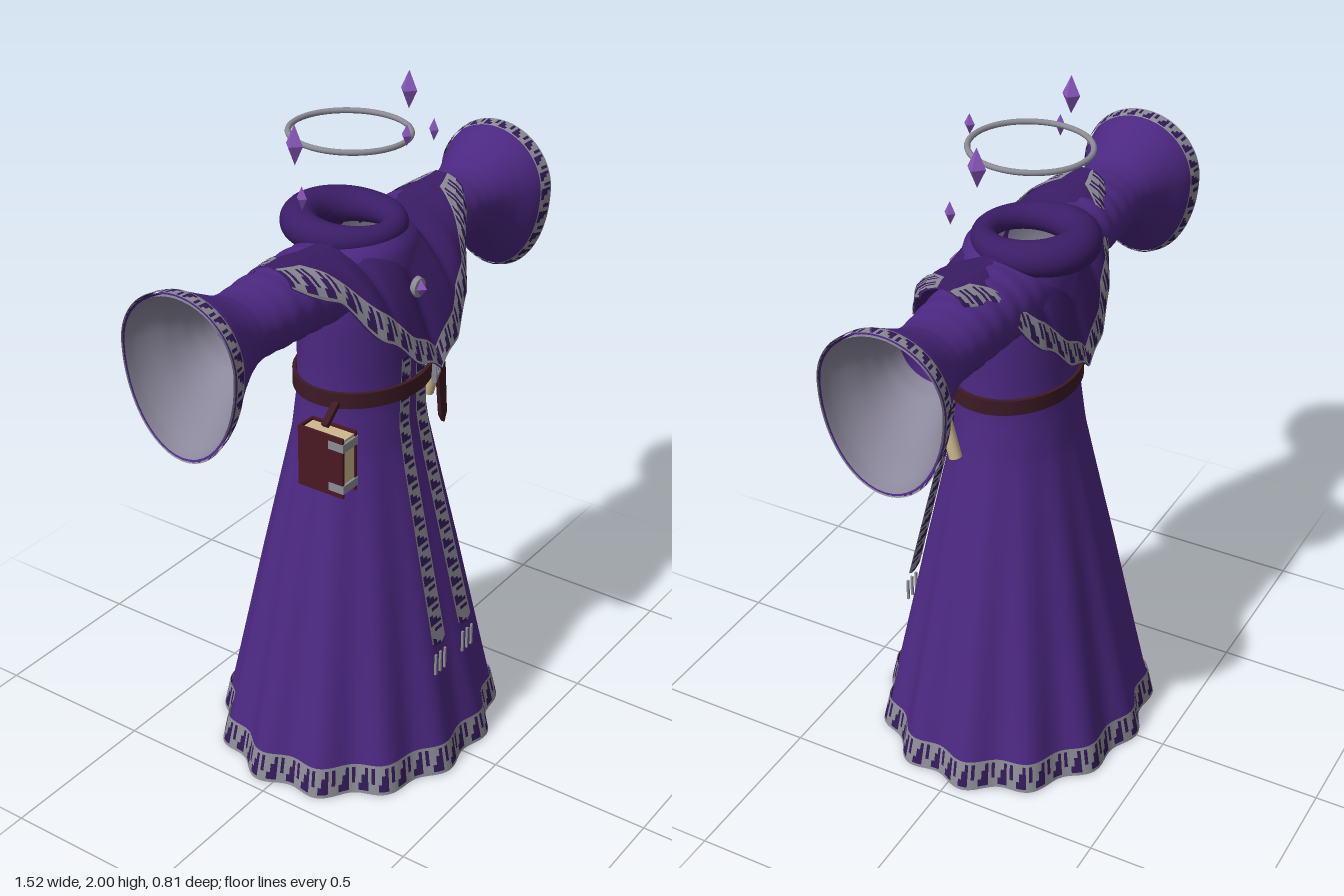
import * as THREE from 'three';
import { mergeVertices } from 'three/addons/utils/BufferGeometryUtils.js';

const mat = (name, color, double = false) => {
  const m = new THREE.MeshStandardMaterial({ color, side: double ? THREE.DoubleSide : THREE.FrontSide });
  m.name = name;
  return m;
};
const M = {
  robe: mat('robe purple', 0x4c2882, true),
  cape: mat('cape purple', 0x3b1d66, true),
  trim: mat('trim dark purple', 0x321a58, true),
  silver: mat('silver', 0x8c8c96, true),
  lining: mat('lining grey', 0x8c889c, true),
  leather: mat('leather', 0x3c1a24),
  cover: mat('book cover', 0x4a1822),
  paper: mat('parchment', 0xcdb98c),
  crystal: mat('crystal', 0x8a58bc),
};

// Piecewise linear lookup: rows are [key, a, b, ...]
function lookup(rows, k) {
  let i = 0;
  while (i < rows.length - 2 && k > rows[i + 1][0]) i++;
  const a = rows[i], b = rows[i + 1];
  const t = Math.min(1, Math.max(0, (k - a[0]) / (b[0] - a[0])));
  return a.slice(1).map((v, j) => v + (b[j + 1] - v) * t);
}

// Smooth grid surface from fn(u, v) -> [x, y, z]
function surface(fn, nu, nv, flip = false) {
  const pos = [], idx = [];
  for (let j = 0; j <= nv; j++) for (let i = 0; i <= nu; i++) pos.push(...fn(i / nu, j / nv));
  for (let j = 0; j < nv; j++) for (let i = 0; i < nu; i++) {
    const a = j * (nu + 1) + i, b = a + 1, d = a + nu + 1, c = d + 1;
    idx.push(...(flip ? [a, c, b, a, d, c] : [a, b, c, a, c, d]));
  }
  let g = new THREE.BufferGeometry();
  g.setAttribute('position', new THREE.Float32BufferAttribute(pos, 3));
  g.setIndex(idx);
  g = mergeVertices(g, 1e-5);
  g.computeVertexNormals();
  return g;
}

// Embroidered band: silver borders and key motif on dark cloth
const ROWS = ['111111', '011100', '010110', '010111', '111111'];
const EDGES = [0, 0.1, 0.35, 0.65, 0.9, 1];
function embroidered(name, fn, motifs) {
  const group = new THREE.Group();
  group.name = name;
  const buckets = [[], []], n = motifs * 6;
  for (let i = 0; i < n; i++) ROWS.forEach((row, j) => {
    const [a, b, c, d] = [[i, j], [i + 1, j], [i + 1, j + 1], [i, j + 1]].map(([p, q]) => fn(p / n, EDGES[q]));
    buckets[+row[i % 6]].push(...a, ...b, ...c, ...a, ...c, ...d);
  });
  buckets.forEach((p, k) => {
    const g = new THREE.BufferGeometry();
    g.setAttribute('position', new THREE.Float32BufferAttribute(p, 3));
    g.computeVertexNormals();
    const m = new THREE.Mesh(g, k ? M.silver : M.trim);
    m.name = name + (k ? 'Thread' : 'Cloth');
    group.add(m);
  });
  return group;
}

// Robe body: elliptical rings with folds that deepen toward the hem
const BODY = [[0, 0.448, 0.39], [0.6, 0.318, 0.272], [1.02, 0.222, 0.184], [1.15, 0.203, 0.168], [1.25, 0.2, 0.165],
  [1.42, 0.205, 0.168], [1.56, 0.195, 0.16], [1.62, 0.165, 0.145], [1.645, 0.115, 0.12]];
function bodyPoint(u, y, off = 0) {
  const th = u * Math.PI * 2, [rx, rz] = lookup(BODY, y);
  const fold = 1 - 0.038 * Math.pow(Math.max(0, 1 - y / 1.1), 0.8) * Math.cos(13 * th + 0.3 * Math.sin(2 * th));
  return [Math.sin(th) * (rx * fold + off), y, Math.cos(th) * (rz * fold + off)];
}

// Sleeve: rings along x, [x, up, down, depth]
const SLEEVE = [[0.1, 0.1, 0.125, 0.13], [0.2, 0.106, 0.115, 0.127], [0.3, 0.106, 0.11, 0.12], [0.42, 0.098, 0.106, 0.114],
  [0.5, 0.09, 0.102, 0.108], [0.55, 0.094, 0.112, 0.11], [0.6, 0.113, 0.148, 0.121], [0.65, 0.138, 0.198, 0.14],
  [0.7, 0.164, 0.252, 0.165], [0.73, 0.173, 0.275, 0.176], [0.76, 0.176, 0.285, 0.182]];
function sleevePoint(s, x, v, off = 0) {
  const a = v * Math.PI * 2, [up, down, rz] = lookup(SLEEVE, x);
  const w = x < 0.55 ? 1 + 0.018 * Math.sin(x * 95) * Math.sin((0.55 - x) * 6) : 1;
  const sn = Math.sin(a);
  return [s * x, 1.53 + sn * ((sn > 0 ? up : down) * w + off), -0.02 + Math.cos(a) * (rz * w + off)];
}

// Cape: pointed panel hanging from the shoulder line; t runs from top to hem
const HEM = [[0, 1.275, 0.272], [0.1, 1.335, 0.26], [0.2, 1.42, 0.222], [0.3, 1.545, 0.15], [0.36, 1.59, 0.115], [0.41, 1.61, 0.07]];
function capePoint(s, x, t, off = 0) {
  const ax = Math.abs(x), [hy, hz] = lookup(HEM, ax);
  const top = 1.64 + 0.02 * Math.max(0, ax - 0.2) / 0.2;
  const z0 = ax < 0.14 ? Math.sqrt(0.14 * 0.14 - ax * ax) - 0.02 : -0.02;
  const z1 = hz * (s > 0 ? 1 : 0.8), k = Math.min(1, ax / 0.2);
  const ty = t + (1 - Math.cos(t * Math.PI / 2) - t) * k, tz = t + (Math.sin(t * Math.PI / 2) - t) * k;
  const y = top + (hy + 0.008 * Math.sin(ax * 48) - top) * ty;
  return [x, y + off * 0.6, s * (z0 + (z1 - z0) * tz + off)];
}

export function createModel() {
  const root = new THREE.Group();
  root.name = 'floatingRobe';
  const add = (name, geo, material, x = 0, y = 0, z = 0) => {
    const m = new THREE.Mesh(geo, material);
    m.name = name;
    m.position.set(x, y, z);
    root.add(m);
    return m;
  };

  // Robe, lining and hem band
  add('robeBody', surface((u, v) => bodyPoint(u, v * 1.645), 208, 60), M.robe);
  add('robeLining', surface((u, v) => bodyPoint(u, v * 1.6, -0.006), 208, 40, true), M.lining);
  root.add(embroidered('hemTrim', (u, v) => bodyPoint(u, 0.003 + v * 0.092, 0.008), 44));

  // Rolled collar, fuller at the back
  add('collar', surface((u, v) => {
    const a = u * Math.PI * 2, b = v * Math.PI * 2, r = 0.045 - 0.011 * Math.cos(a);
    return [Math.sin(a) * (0.127 + r * Math.cos(b)), 1.637 + r * Math.sin(b), -0.042 + Math.cos(a) * (0.137 + r * Math.cos(b))];
  }, 48, 20), M.cape);

  // Sleeves with bell cuffs
  for (const s of [1, -1]) {
    const side = s > 0 ? 'left' : 'right';
    add(side + 'Sleeve', surface((u, v) => sleevePoint(s, 0.1 + u * 0.66, v), 60, 48, s < 0), M.robe);
    add(side + 'SleeveLining', surface((u, v) => sleevePoint(s, 0.5 + u * 0.26, v, -0.006), 24, 48, s > 0), M.lining);
    root.add(embroidered(side + 'CuffTrim', (u, v) => sleevePoint(s, 0.717 + v * 0.043, u, 0.005), 22));
  }

  // Front and back cape panels with trim
  for (const s of [1, -1]) {
    const side = s > 0 ? 'front' : 'back';
    add(side + 'Cape', surface((u, v) => capePoint(s, (u * 2 - 1) * 0.41, 1 - v), 64, 16, s < 0), M.cape);
    root.add(embroidered(side + 'CapeTrim', (u, v) => {
      const x = (u * 2 - 1) * 0.41, drop = 1.65 - lookup(HEM, Math.abs(x))[0];
      return capePoint(s, x, 1 - v * Math.min(0.75, 0.06 / drop), 0.005);
    }, 18));
  }

  // Hanging stole ends with fringe
  const STOLE = [[0.4, 0.338], [0.98, 0.204], [1.1, 0.182], [1.3, 0.182]];
  for (const s of [1, -1]) {
    root.add(embroidered(s > 0 ? 'leftStole' : 'rightStole', (u, v) => {
      const tip = u > 0.97 ? 0.02 * (1 - Math.abs(2 * v - 1)) : 0;
      const y = 1.3 - u * 0.87 - tip;
      return [s * (0.035 + u * 0.035) + (v - 0.5) * (0.046 + u * 0.02), y, lookup(STOLE, y)[0]];
    }, 14));
    for (const d of [-1, 0, 1])
      add('stoleFringe', new THREE.BoxGeometry(0.007, 0.07, 0.007), M.silver, s * 0.073 + d * 0.024, 0.36, 0.34);
  }

  // Belt with tail and buckle
  const loop = new THREE.Shape().absellipse(0, 0, 0.226, 0.187, 0, Math.PI * 2);
  loop.holes.push(new THREE.Path().absellipse(0, 0, 0.214, 0.175, 0, Math.PI * 2));
  const beltGeo = new THREE.ExtrudeGeometry(loop, { depth: 0.046, bevelEnabled: false, curveSegments: 48 });
  add('belt', beltGeo.rotateX(-Math.PI / 2), M.leather, 0, 1.182, 0.012);
  const tail = new THREE.Shape([[-0.02, 0.1], [0.018, 0.1], [0.022, -0.07], [0.008, -0.1], [-0.008, -0.07]].map(p => new THREE.Vector2(...p)));
  add('beltTail', new THREE.ExtrudeGeometry(tail, { depth: 0.012, bevelEnabled: false }), M.leather, 0.19, 1.08, 0.148).rotation.z = 0.06;
  const frame = new THREE.Shape([[-0.037, -0.037], [0.037, -0.037], [0.037, 0.037], [-0.037, 0.037]].map(p => new THREE.Vector2(...p)));
  frame.holes.push(new THREE.Path([[-0.024, -0.024], [-0.024, 0.024], [0.024, 0.024], [0.024, -0.024]].map(p => new THREE.Vector2(...p))));
  const buckle = add('buckle', new THREE.ExtrudeGeometry(frame, { depth: 0.014, bevelEnabled: false }), M.silver, 0.122, 1.205, 0.172);
  buckle.rotation.y = 0.4;
  const prong = new THREE.Mesh(new THREE.BoxGeometry(0.06, 0.008, 0.01), M.silver);
  prong.name = 'bucklePin';
  prong.position.z = 0.012;
  buckle.add(prong);

  // Book hung from the belt
  add('bookPages', new THREE.BoxGeometry(0.054, 0.17, 0.14), M.paper, -0.275, 1.06, 0.085);
  for (const d of [-1, 1]) {
    add('bookCover', new THREE.BoxGeometry(0.008, 0.186, 0.15), M.cover, -0.275 + d * 0.03, 1.06, 0.084);
    add('bookClasp', new THREE.BoxGeometry(0.071, 0.025, 0.05), M.silver, -0.275, 1.06 + d * 0.065, 0.137);
  }
  add('bookSpine', new THREE.BoxGeometry(0.068, 0.186, 0.008), M.cover, -0.275, 1.06, 0.012);
  add('bookStrap', new THREE.BoxGeometry(0.075, 0.014, 0.02), M.leather, -0.24, 1.175, 0.07).rotation.z = 0.7;

  // Rolled scroll
  const scroll = add('scroll', new THREE.CylinderGeometry(0.019, 0.019, 0.19, 16), M.paper, 0.253, 1.125, 0.092);
  scroll.rotation.x = 0.26;
  const tie = new THREE.Mesh(new THREE.CylinderGeometry(0.0205, 0.0205, 0.014, 16), M.leather);
  tie.name = 'scrollTie';
  tie.position.y = 0.065;
  scroll.add(tie);

  // Brooch
  const disc = add('broochSetting', new THREE.CylinderGeometry(0.027, 0.031, 0.014, 16), M.silver, 0, 1.5, 0.193);
  disc.rotation.x = Math.PI / 2;
  add('broochStone', new THREE.OctahedronGeometry(0.02), M.crystal, 0, 1.5, 0.202).scale.y = 1.25;

  // Halo ring and floating crystals
  const halo = add('halo', new THREE.TorusGeometry(0.16, 0.008, 10, 64).rotateX(Math.PI / 2), M.silver, 0, 1.9, -0.034);
  halo.scale.z = 1.06;
  const gem = (x, y, z, r, h) => add('floatingCrystal', new THREE.OctahedronGeometry(1), M.crystal, x, y, z).scale.set(r, h, r);
  for (const s of [1, -1]) {
    gem(s * 0.265, 1.945, -0.02, 0.027, 0.056);
    gem(s * 0.31, 1.826, 0.035, 0.016, 0.033);
  }
  gem(0, 1.927, 0.15, 0.016, 0.03);
  return root;
}
